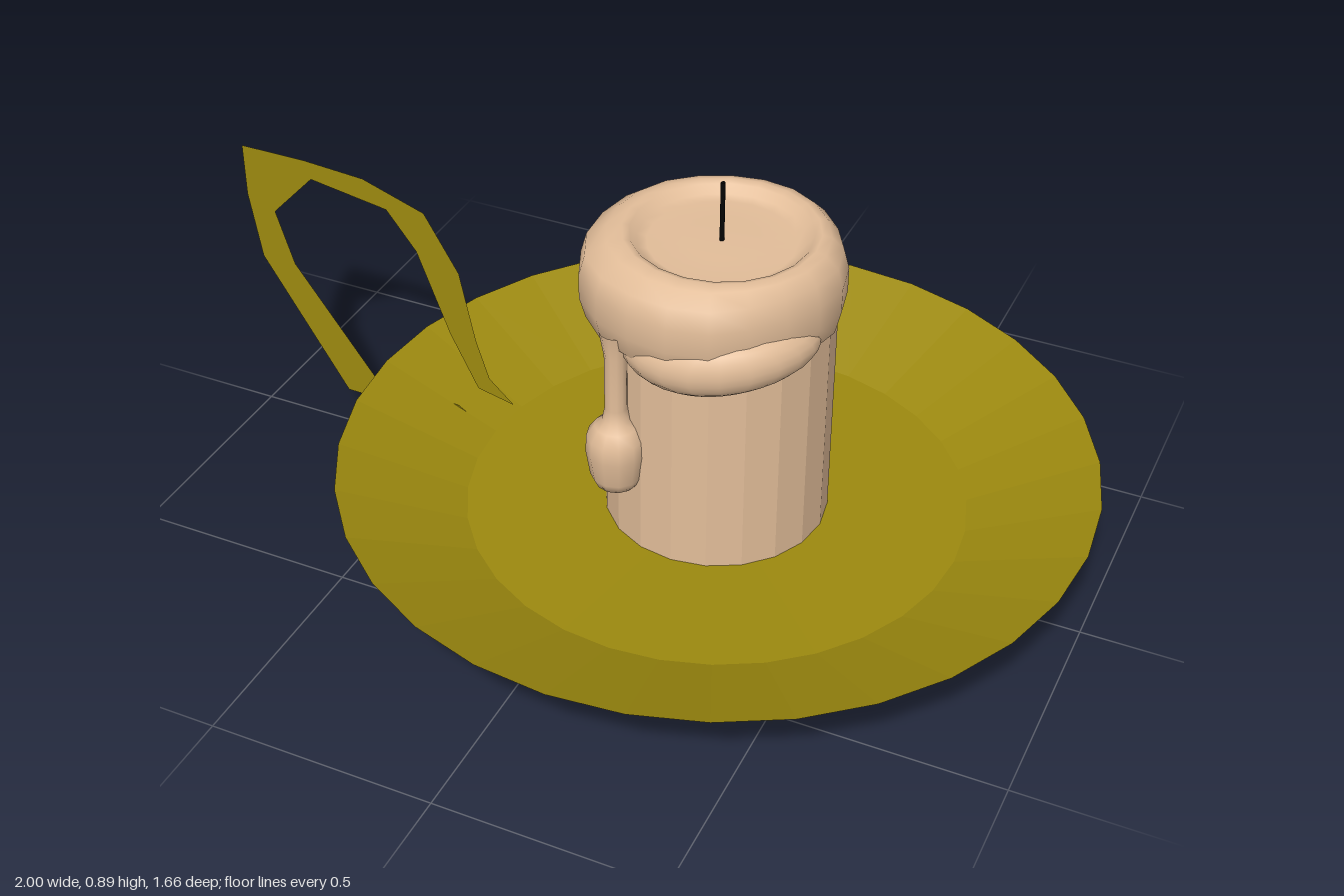
import * as THREE from 'three';
import { mergeVertices } from 'three/addons/utils/BufferGeometryUtils.js';

const AXIS_X = 0.165; // dish and candle share this vertical axis

const brass = new THREE.MeshStandardMaterial({ color: 0x9c890f, flatShading: true });
const brassSheet = new THREE.MeshStandardMaterial({ color: 0x9c890f, side: THREE.DoubleSide });
const wax = new THREE.MeshStandardMaterial({ color: 0xe2bd99 });
const waxFlat = new THREE.MeshStandardMaterial({ color: 0xe2bd99, flatShading: true });
const black = new THREE.MeshStandardMaterial({ color: 0x050505 });

const lathe = (profile, sides) =>
  new THREE.LatheGeometry(profile.map(([r, y]) => new THREE.Vector2(r, y)), sides);

// Move every vertex by a rule, then weld seams and smooth
function reshape(geometry, rule) {
  const p = geometry.attributes.position;
  const v = new THREE.Vector3();
  for (let i = 0; i < p.count; i++) {
    rule(v.fromBufferAttribute(p, i));
    p.setXYZ(i, v.x, v.y, v.z);
  }
  geometry.deleteAttribute('uv');
  geometry.deleteAttribute('normal');
  const welded = mergeVertices(geometry, 1e-5);
  welded.computeVertexNormals();
  return welded;
}

function add(parent, name, geometry, material) {
  const mesh = new THREE.Mesh(geometry, material);
  mesh.name = name;
  parent.add(mesh);
  return mesh;
}

export function createModel() {
  const model = new THREE.Group();
  model.name = 'candleholder';

  // Dish with raised foot and sloping rim
  const dish = lathe([[0, 0], [0.49, 0], [0.49, 0.045], [0.83, 0.205], [0.55, 0.092], [0, 0.09]], 32);
  add(model, 'dish', dish, brass).position.x = AXIS_X;

  // Flat sheet handle: outer edge, then back along the inner edge
  const handle = new THREE.Shape([
    [-0.335, 0.18], [-0.395, 0.235], [-0.425, 0.33], [-0.46, 0.5], [-0.54, 0.635],
    [-0.69, 0.685], [-0.84, 0.695], [-1, 0.695], [-1, 0.57], [-0.975, 0.41],
    [-0.775, 0.09], [-0.4, 0.085], [-0.48, 0.135], [-0.7, 0.15], [-0.89, 0.41],
    [-0.93, 0.54], [-0.825, 0.65], [-0.635, 0.62], [-0.565, 0.53], [-0.49, 0.33], [-0.425, 0.2],
  ].map(([x, y]) => new THREE.Vector2(x, y)));
  add(model, 'handle', new THREE.ShapeGeometry(handle), brassSheet);

  const candle = new THREE.Group();
  candle.name = 'candle';
  candle.position.x = AXIS_X;
  model.add(candle);

  // Faceted shaft
  add(candle, 'candleBody', lathe([[0.245, 0.085], [0.245, 0.66]], 20), waxFlat);

  // Melted top: lip swollen toward one side, shallow pool inside
  const lip = lathe([
    [0.238, 0.59], [0.25, 0.605], [0.262, 0.65], [0.262, 0.705], [0.25, 0.75], [0.225, 0.775],
    [0.205, 0.78], [0.19, 0.775], [0.175, 0.758], [0.155, 0.752], [0.08, 0.756], [0, 0.753],
  ], 20);
  add(candle, 'meltedTop', reshape(lip, (v) => {
    const r = Math.hypot(v.x, v.z);
    if (r < 0.18) return;
    const a = Math.atan2(v.x, v.z);
    const swell = 0.032 * Math.max(0, Math.cos(a + 0.9)) + 0.004 * Math.sin(5 * a);
    const s = 1 + (swell * THREE.MathUtils.smoothstep(r, 0.2, 0.255)) / r;
    v.x *= s;
    v.z *= s;
    if (v.y < 0.64) v.y += 0.008 * Math.sin(3 * a);
  }), wax);

  // Thick fold of wax wrapped around the front
  const fold = new THREE.SphereGeometry(1, 28, 12);
  add(candle, 'waxFold', reshape(fold, (v) => {
    const a = 0.4 + v.x * 1.0;
    const r = 0.235 + v.z * 0.056;
    const y = 0.605 + 0.012 * Math.sin(v.x * 2.5) + v.y * 0.064;
    v.set(Math.sin(a) * r, y, Math.cos(a) * r);
  }), wax);

  // Long drip ending in a bulb
  const drip = lathe([
    [0, 0.24], [0.045, 0.247], [0.056, 0.27], [0.065, 0.33], [0.063, 0.37],
    [0.046, 0.395], [0.03, 0.41], [0.024, 0.44], [0.024, 0.57], [0.034, 0.63],
  ], 12);
  add(candle, 'waxDrip', drip, wax).position.set(-0.135, 0, 0.225);

  // Wick
  const wick = new THREE.CylinderGeometry(0.005, 0.005, 0.15, 6);
  add(candle, 'wick', wick, black).position.y = 0.815;

  return model;
}
